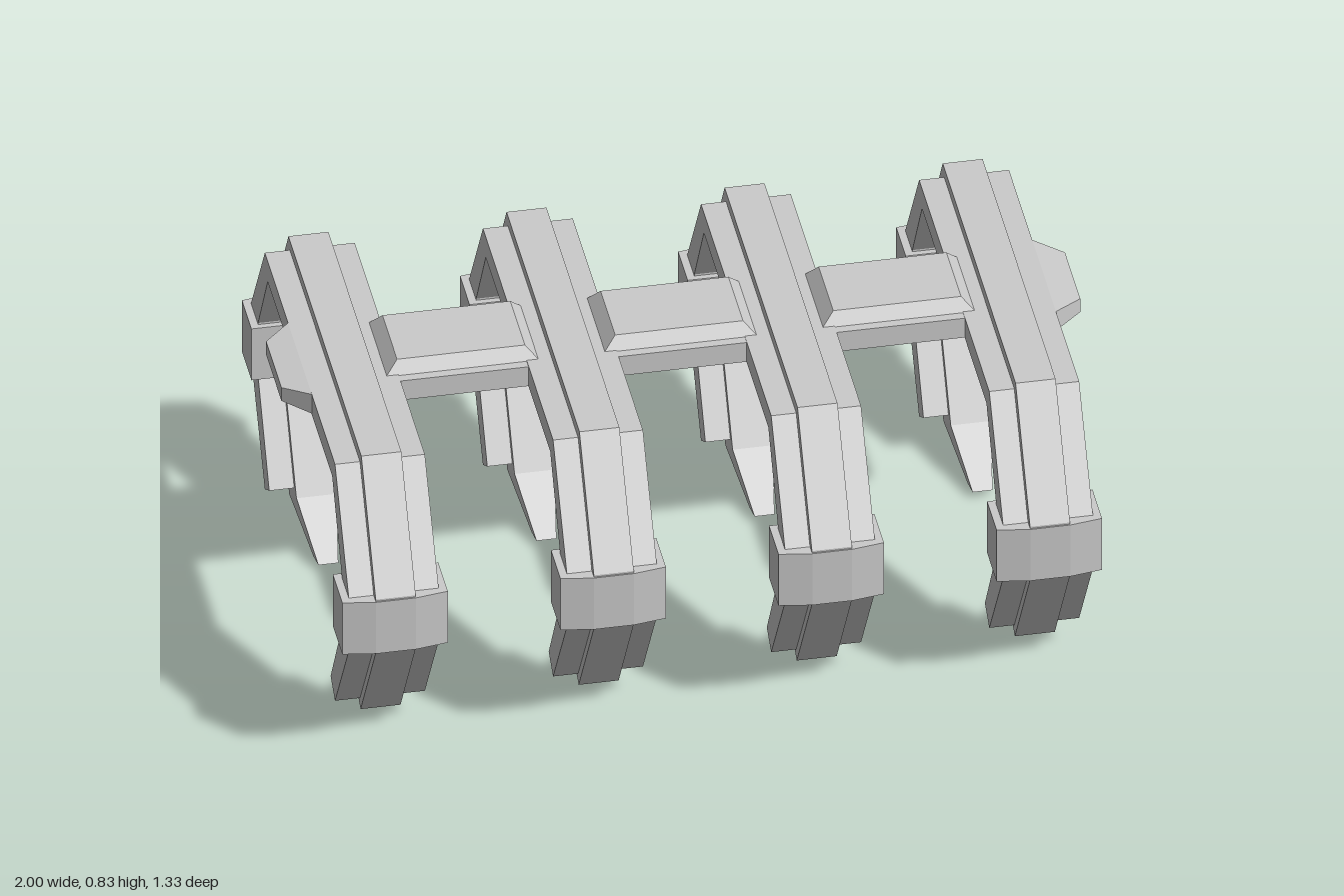
import * as THREE from 'three';

const steel = new THREE.MeshStandardMaterial({ color: 0xcccccc, flatShading: true });

function add(parent, name, geometry) {
  const mesh = new THREE.Mesh(geometry, steel);
  mesh.name = name;
  parent.add(mesh);
  return mesh;
}

// Side profile of [z, y] points, extruded symmetrically across x
function sideExtrude(points, width) {
  const shape = new THREE.Shape(points.map(([z, y]) => new THREE.Vector2(z, y)));
  const geo = new THREE.ExtrudeGeometry(shape, { depth: width, bevelEnabled: false });
  return geo.translate(0, 0, -width / 2).rotateY(-Math.PI / 2);
}

// Closed arch from the outline of its +z half
function arch(half, width) {
  const mirrored = half.map(([z, y]) => [-z, y]).reverse();
  return sideExtrude([...half, ...mirrored], width);
}

// Box standing on y = 0 whose top face is shrunk to topW x topD
function frustum(w, h, d, topW, topD) {
  const geo = new THREE.BoxGeometry(w, h, d).translate(0, h / 2, 0);
  const p = geo.attributes.position;
  for (let i = 0; i < p.count; i++) {
    if (p.getY(i) > h / 2) p.setXYZ(i, p.getX(i) * topW / w, h, p.getZ(i) * topD / d);
  }
  geo.computeVertexNormals();
  return geo;
}

const coreProfile = [
  [0.475, 0.832], [0.663, 0.53], [0.663, 0.37], [0.465, 0.062], [0.37, 0.115],
  [0.525, 0.37], [0.525, 0.525], [0.44, 0.66], [0.325, 0.715],
];
const flankProfile = [
  [0.457, 0.803], [0.64, 0.52], [0.64, 0.37], [0.457, 0.09], [0.4, 0.125],
  [0.545, 0.37], [0.545, 0.53], [0.42, 0.742],
];
const clawProfile = [[0.465, 0.062], [0.28, 0], [0.215, 0.018], [0.37, 0.115]];
const clampPlan = [
  [-0.132, 0.53], [0.132, 0.53], [0.132, 0.654], [0.05, 0.667], [-0.05, 0.667], [-0.132, 0.654],
];

// Claw narrows towards its tip
function clawGeometry() {
  const geo = sideExtrude(clawProfile, 0.1);
  const p = geo.attributes.position;
  for (let i = 0; i < p.count; i++) {
    if (p.getY(i) < 0.05) p.setX(i, p.getX(i) * 0.5);
  }
  geo.computeVertexNormals();
  return geo;
}

function clampGeometry() {
  const shape = new THREE.Shape(clampPlan.map(([x, z]) => new THREE.Vector2(x, -z)));
  const geo = new THREE.ExtrudeGeometry(shape, { depth: 0.155, bevelEnabled: false });
  return geo.rotateX(-Math.PI / 2).translate(0, 0.37, 0);
}

// Lower fittings of one leg, on the +z side
function createLegEnd() {
  const end = new THREE.Group();
  add(end, 'claw', clawGeometry());
  add(end, 'clamp', clampGeometry());
  const pad = add(end, 'innerPad', frustum(0.1, 0.032, 0.155, 0.07, 0.075));
  pad.rotation.x = -Math.PI / 2;
  pad.position.set(0, 0.4475, 0.53);
  const spike = new THREE.ConeGeometry(0.022, 0.04, 4).rotateY(Math.PI / 4);
  const tip = add(end, 'spike', spike);
  tip.rotation.x = -Math.PI / 2;
  tip.position.set(0, 0.45, 0.479);
  return end;
}

function createRib() {
  const rib = new THREE.Group();
  rib.name = 'rib';
  add(rib, 'core', arch(coreProfile, 0.1));
  add(rib, 'flanks', arch(flankProfile, 0.225));
  const front = createLegEnd();
  front.name = 'frontLegEnd';
  const back = createLegEnd();
  back.name = 'backLegEnd';
  back.rotation.y = Math.PI;
  rib.add(front, back);
  return rib;
}

export function createModel() {
  const model = new THREE.Group();
  model.name = 'clawedFrame';
  const spacing = 0.546, centre = -0.003;

  // Four clawed ribs
  for (let i = 0; i < 4; i++) {
    const rib = createRib();
    rib.position.x = centre + (i - 1.5) * spacing;
    model.add(rib);
  }

  // Spine plates with raised panels between the ribs
  for (let i = -1; i <= 1; i++) {
    const plate = add(model, 'spinePlate', new THREE.BoxGeometry(0.38, 0.058, 0.275));
    plate.position.set(centre + i * spacing, 0.772, 0);
    const panel = add(model, 'raisedPanel', frustum(0.385, 0.035, 0.235, 0.32, 0.19));
    panel.position.set(centre + i * spacing, 0.8, -0.003);
  }

  // Tapered end tabs
  for (const side of [-1, 1]) {
    const inner = side < 0 ? 0.934 : 0.928;
    const tab = add(model, side < 0 ? 'rightEndTab' : 'leftEndTab',
      frustum(0.058, 1 - inner, 0.31, 0.04, 0.2));
    tab.rotation.z = -side * Math.PI / 2;
    tab.position.set(side * inner, 0.774, 0);
  }
  return model;
}
